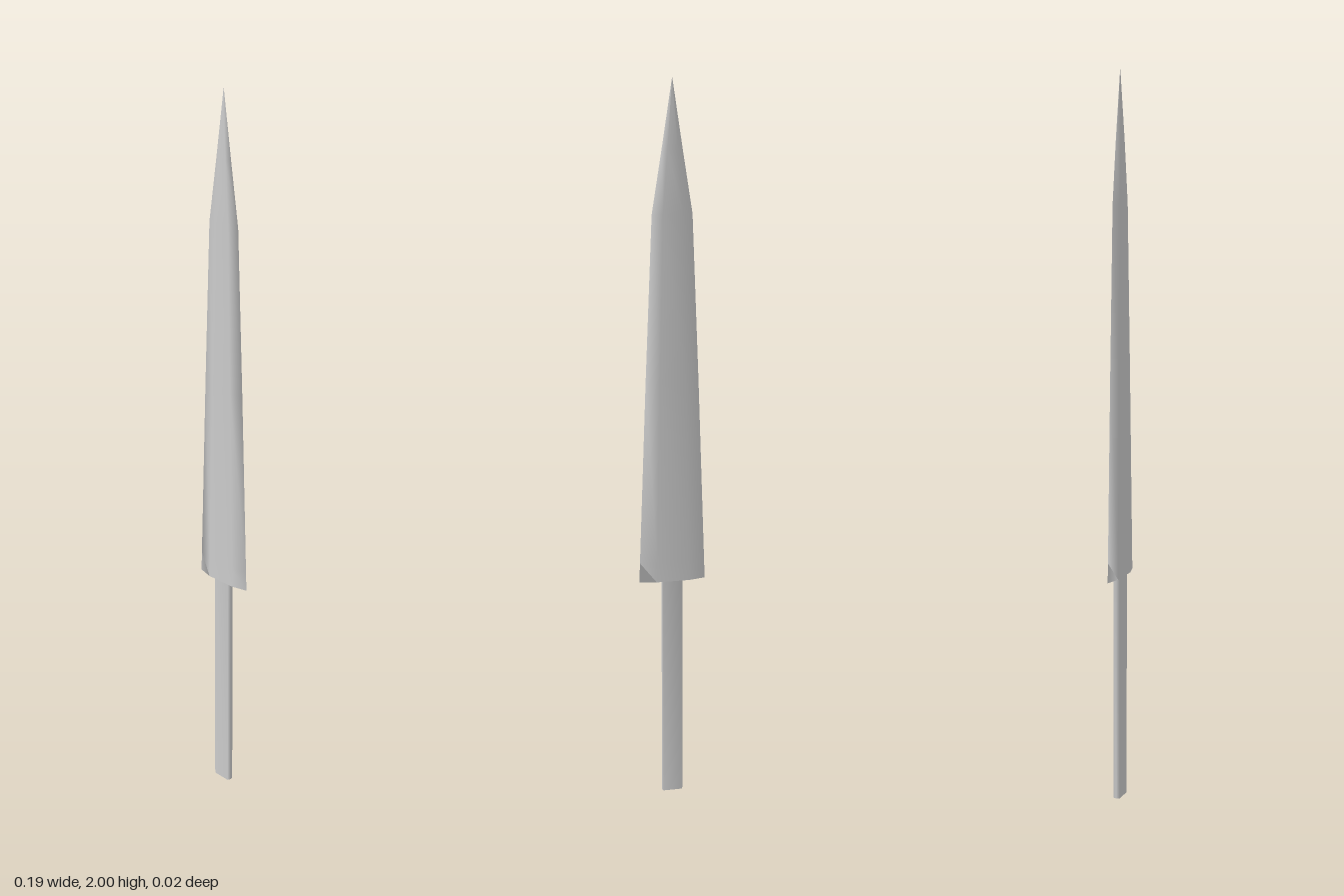
import * as THREE from 'three';

// Hexagonal outline: sharp edges at +-w, flat faces out to +-f at depth +-t
const ring = ([y, w, f, t]) => [
  [w, y, 0], [f, y, -t], [-f, y, -t], [-w, y, 0], [-f, y, t], [f, y, t],
];

// Joins hexagonal sections from bottom to top, with separate flat end caps
function loft(sections) {
  const points = [], faces = [];
  sections.forEach((s) => points.push(...ring(s)));
  for (let i = 0; i < sections.length - 1; i++) {
    for (let j = 0; j < 6; j++) {
      const a = i * 6 + j, b = i * 6 + (j + 1) % 6;
      faces.push(a, a + 6, b, b, a + 6, b + 6);
    }
  }
  for (const top of [false, true]) {
    const base = points.length;
    points.push(...ring(sections[top ? sections.length - 1 : 0]));
    for (let j = 1; j < 5; j++) {
      faces.push(base, base + (top ? j : j + 1), base + (top ? j + 1 : j));
    }
  }
  // ring runs counter-clockwise seen from above, so sides are flipped outward
  for (let k = 0; k < (sections.length - 1) * 36; k += 3) {
    [faces[k + 1], faces[k + 2]] = [faces[k + 2], faces[k + 1]];
  }
  const geometry = new THREE.BufferGeometry();
  geometry.setAttribute('position', new THREE.Float32BufferAttribute(points.flat(), 3));
  geometry.setIndex(faces);
  geometry.computeVertexNormals();
  return geometry;
}

export function createModel() {
  const model = new THREE.Group();
  const material = new THREE.MeshStandardMaterial({ color: 0xcccccc });
  const add = (name, sections) => {
    const mesh = new THREE.Mesh(loft(sections), material);
    mesh.name = name;
    model.add(mesh);
  };

  // Tapered double-edged blade: height, half width, half flat, half thickness
  add('blade', [
    [0.635, 0.093, 0.046, 0.012],
    [0.69, 0.091, 0.045, 0.0115],
    [1.2, 0.073, 0.036, 0.01],
    [1.65, 0.055, 0.027, 0.009],
    [1.82, 0.028, 0.014, 0.007],
    [2.0, 0.0005, 0.0003, 0.0003],
  ]);

  // Narrow flat tang under the blade
  add('tang', [
    [0, 0.03, 0.027, 0.009],
    [0.65, 0.03, 0.027, 0.009],
  ]);

  return model;
}
